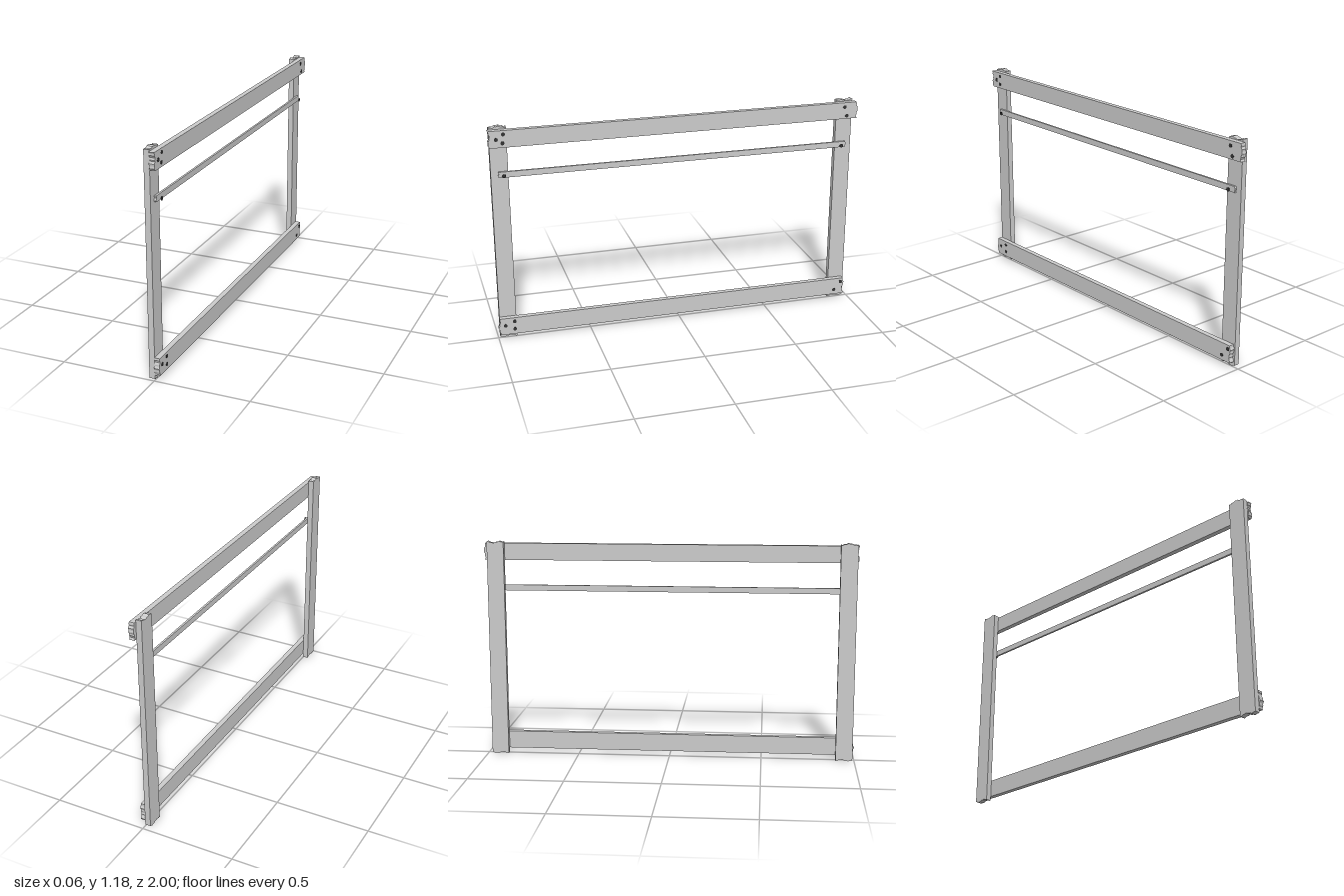
import * as THREE from 'three';

const wood = new THREE.MeshStandardMaterial({ color: 0xcccccc, flatShading: true });
const dark = new THREE.MeshStandardMaterial({ color: 0x333333 });

// uneven, scalloped depth of a rough-sawn end; t runs 0..1 across the board
const bite = (t, seed, depth) =>
  depth * (0.35 * Math.abs(Math.sin(t * 4.5 * Math.PI + seed)) + 0.65 * (0.5 + 0.5 * Math.sin(t * 8 + seed * 2.3)));

// board in the z-y plane with ragged ends, from x0 to x1
function board(name, [z0, z1], [y0, y1], [x0, x1], upright, seed, depth = 0.012, steps = 16) {
  const [a0, a1, b0, b1] = upright ? [y0, y1, z0, z1] : [z0, z1, y0, y1];
  const pts = [];
  for (let i = 0; i <= steps; i++) {
    const t = i / steps;
    pts.push([a1 - bite(t, seed, depth), b0 + (b1 - b0) * t]);
  }
  for (let i = steps; i >= 0; i--) {
    const t = i / steps;
    pts.push([a0 + bite(t, seed + 1.7, depth), b0 + (b1 - b0) * t]);
  }
  const shape = new THREE.Shape(pts.map(([a, b]) => (upright ? new THREE.Vector2(b, a) : new THREE.Vector2(a, b))));
  const geo = new THREE.ExtrudeGeometry(shape, { depth: x1 - x0, bevelEnabled: false });
  geo.rotateY(-Math.PI / 2).translate(x1, 0, 0);
  const mesh = new THREE.Mesh(geo, wood);
  mesh.name = name;
  return mesh;
}

// flat round screw head facing +x
function screw(z, y, x) {
  const mesh = new THREE.Mesh(new THREE.CylinderGeometry(0.01, 0.01, 0.003, 16), dark);
  mesh.rotation.z = Math.PI / 2;
  mesh.position.set(x, y, z);
  mesh.name = 'screwHead';
  return mesh;
}

export function createModel() {
  const model = new THREE.Group();
  model.name = 'woodenFrame';

  // uprights
  model.add(board('frontPost', [0.9, 0.99], [0, 1.178], [-0.03, 0], true, 0.4));
  model.add(board('backPost', [-0.975, -0.885], [0, 1.174], [-0.03, 0], true, 2.1));

  // long rails and the thin bar fixed to the uprights
  model.add(board('topRail', [-1, 1], [1.07, 1.16], [0, 0.028], false, 1.2));
  model.add(board('bottomRail', [-0.972, 1], [0.028, 0.122], [0, 0.028], false, 3.3));
  model.add(board('thinBar', [-0.947, 0.955], [0.905, 0.936], [0, 0.011], false, 0.9, 0.006, 6));

  // screw heads at the corners
  const screws = new THREE.Group();
  screws.name = 'screws';
  const corners = [
    [0.957, 1.114], [0.92, 1.14], [0.925, 1.093], [-0.922, 1.136], [-0.936, 1.087],
    [0.963, 0.08], [0.914, 0.1], [0.914, 0.056], [-0.952, 0.1], [-0.912, 0.055],
  ];
  for (const [z, y] of corners) screws.add(screw(z, y, 0.028));
  // screw heads standing proud of the thin bar
  for (const z of [0.925, -0.914]) screws.add(screw(z, 0.918, 0.026));
  model.add(screws);

  return model;
}
